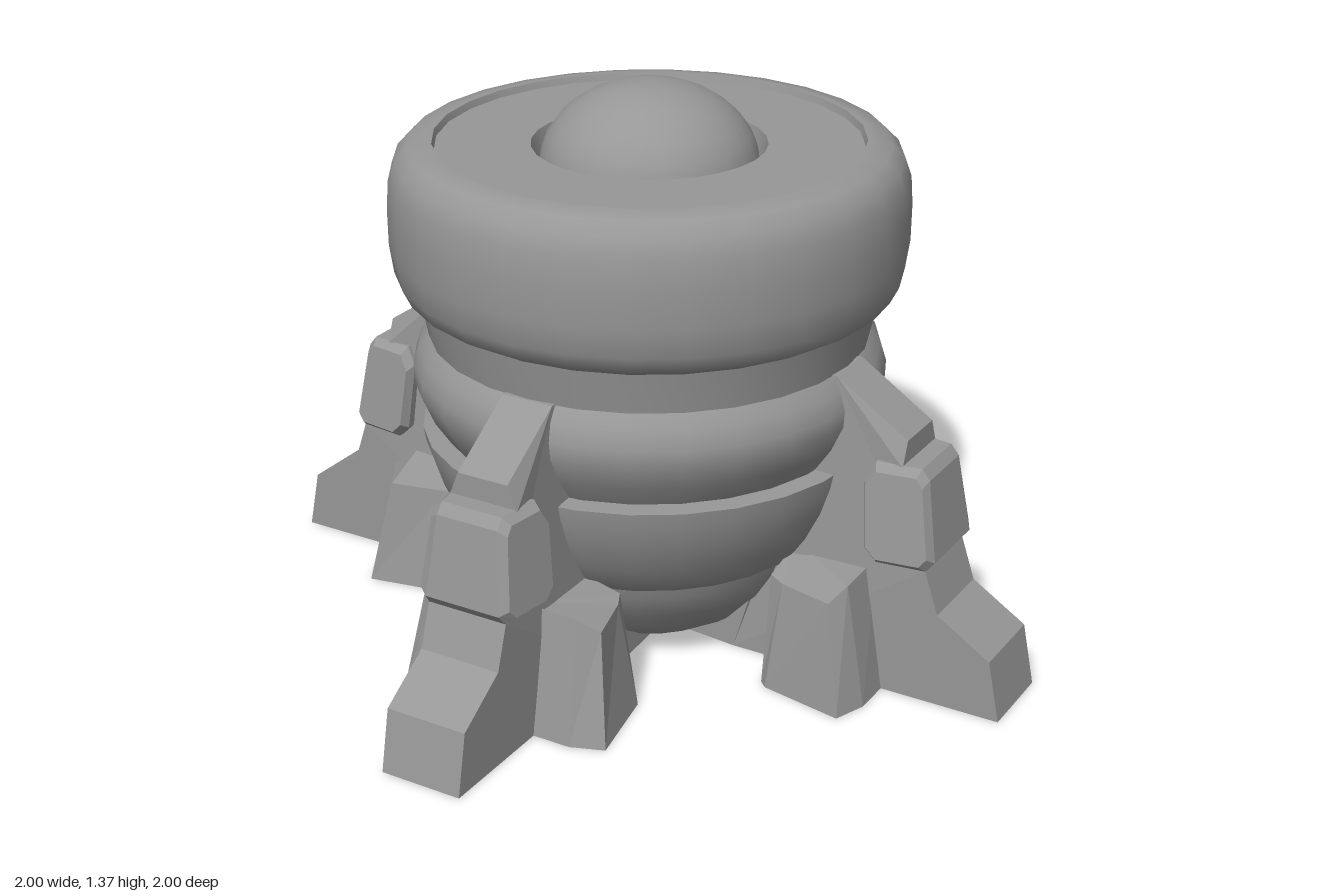
import * as THREE from 'three';
import { toCreasedNormals } from 'three/addons/utils/BufferGeometryUtils.js';

const smooth = new THREE.MeshStandardMaterial({ color: 0x979797 });
const faceted = new THREE.MeshStandardMaterial({ color: 0x979797, flatShading: true });

function named(name, geometry, material) {
  const mesh = new THREE.Mesh(geometry, material);
  mesh.name = name;
  return mesh;
}

// Round part from [radius, height] pairs, listed from bottom to top
function turned(name, profile) {
  const points = profile.map(([r, y]) => new THREE.Vector2(r, y));
  return named(name, toCreasedNormals(new THREE.LatheGeometry(points, 28), 0.7), smooth);
}

// Closed solid through rings of equal point count, with fan caps
function loft(rings) {
  const n = rings[0].length;
  const index = [];
  for (let i = 0; i < rings.length - 1; i++) {
    for (let j = 0; j < n; j++) {
      const a = i * n + j, b = i * n + (j + 1) % n;
      index.push(a, b, b + n, a, b + n, a + n);
    }
  }
  const last = (rings.length - 1) * n;
  for (let j = 1; j < n - 1; j++) {
    index.push(0, j + 1, j, last, last + j, last + j + 1);
  }
  const geometry = new THREE.BufferGeometry();
  geometry.setAttribute('position', new THREE.Float32BufferAttribute(rings.flat(2), 3));
  geometry.setIndex(index);
  geometry.computeVertexNormals();
  return geometry;
}

// Stepped leg plate in the x-y plane, narrowing towards the top
function legPlate() {
  const outline = [
    [0.13, 0.012], [0.3, 0], [1, 0], [0.97, 0.15], [0.835, 0.235], [0.8, 0.34], [0.725, 0.58],
    [0.725, 0.64], [0.54, 0.76], [0.46, 0.76], [0.4, 0.34], [0.2, 0.04],
  ];
  const shape = new THREE.Shape(outline.map(([x, y]) => new THREE.Vector2(x, y)));
  const geometry = new THREE.ExtrudeGeometry(shape, { depth: 2, bevelEnabled: false });
  geometry.translate(0, 0, -1);
  const p = geometry.attributes.position;
  for (let i = 0; i < p.count; i++) {
    const y = p.getY(i);
    const half = y > 0.6 ? 0.066 : y > 0.5 ? 0.09 : 0.104;
    p.setZ(i, p.getZ(i) * half);
  }
  geometry.computeVertexNormals();
  return geometry;
}

// Bevelled pod that wraps the leg, slimmer upwards and outwards
function podGeometry() {
  const outline = [
    [0.68, 0.34], [0.8, 0.34], [0.82, 0.365], [0.79, 0.56],
    [0.77, 0.585], [0.66, 0.585], [0.635, 0.54], [0.65, 0.37],
  ];
  const ring = (side, inset, scale) => outline.map(([x, y]) => {
    const half = 0.142 - 0.11 * (y - 0.35) - 0.12 * (x - 0.65);
    return [0.728 + (x - 0.728) * scale, 0.463 + (y - 0.463) * scale, side * (half - inset)];
  });
  return loft([ring(-1, 0, 0.86), ring(-1, 0.022, 1), ring(1, 0.022, 1), ring(1, 0, 0.86)]);
}

// Tapered foot block beside the leg; side is +1 or -1
function buttressGeometry(side) {
  const base = [[0.44, 0, 0.05], [0.44, 0, 0.22], [0.46, 0, 0.24],
    [0.67, 0, 0.28], [0.7, 0, 0.2], [0.7, 0, 0.05]];
  const top = [[0.44, 0.3, 0.05], [0.44, 0.27, 0.18], [0.48, 0.265, 0.2],
    [0.62, 0.27, 0.24], [0.645, 0.3, 0.19], [0.65, 0.31, 0.05]];
  const rings = [base, top].map((ring) => ring.map(([x, y, z]) => [x, y, z * side]));
  // Mirroring flips the winding, so the other side runs its rings backwards
  return loft(side > 0 ? rings : rings.map((ring) => ring.reverse()));
}

export function createModel() {
  const model = new THREE.Group();
  model.name = 'domedPod';

  // Stacked round body
  const body = new THREE.Group();
  body.name = 'body';
  body.add(
    turned('bottomBowl', [[0, 0], [0.15, 0.003], [0.23, 0.025], [0.3, 0.07],
      [0.37, 0.15], [0.41, 0.22], [0.425, 0.27], [0, 0.27]]),
    turned('lowerBand', [[0.3, 0.25], [0.425, 0.25], [0.445, 0.265], [0.492, 0.335], [0.528, 0.41],
      [0.55, 0.48], [0.556, 0.515], [0.45, 0.52]]),
    turned('middleBand', [[0.45, 0.5], [0.505, 0.515], [0.545, 0.575], [0.573, 0.64],
      [0.574, 0.68], [0.56, 0.725], [0.535, 0.757], [0.45, 0.757]]),
    turned('neck', [[0.45, 0.75], [0.533, 0.75], [0.555, 0.865], [0.45, 0.865]]),
    // Thick rim, sunken lid and the well around the dome
    turned('topRing', [[0.45, 0.86], [0.555, 0.86], [0.59, 0.88], [0.61, 0.92], [0.62, 0.99],
      [0.621, 1.08], [0.616, 1.15], [0.6, 1.195], [0.57, 1.225], [0.525, 1.235],
      [0.512, 1.235], [0.507, 1.218], [0.28, 1.218], [0.265, 1.16], [0, 1.16]]),
  );
  // Flattened dome
  const dome = named('dome', new THREE.SphereGeometry(0.262, 28, 8, 0, Math.PI * 2, 0, Math.PI / 2), smooth);
  dome.scale.y = 0.78;
  dome.position.y = 1.161;
  body.add(dome);
  model.add(body);

  // Four legs in a cross
  const plate = legPlate();
  const pod = podGeometry();
  const buttresses = [1, -1].map(buttressGeometry);
  for (let i = 0; i < 4; i++) {
    const leg = new THREE.Group();
    leg.name = 'leg' + (i + 1);
    leg.add(named('legPlate', plate, faceted), named('legPod', pod, faceted));
    buttresses.forEach((g) => leg.add(named('footButtress', g, faceted)));
    leg.rotation.y = i * Math.PI / 2;
    model.add(leg);
  }
  return model;
}
